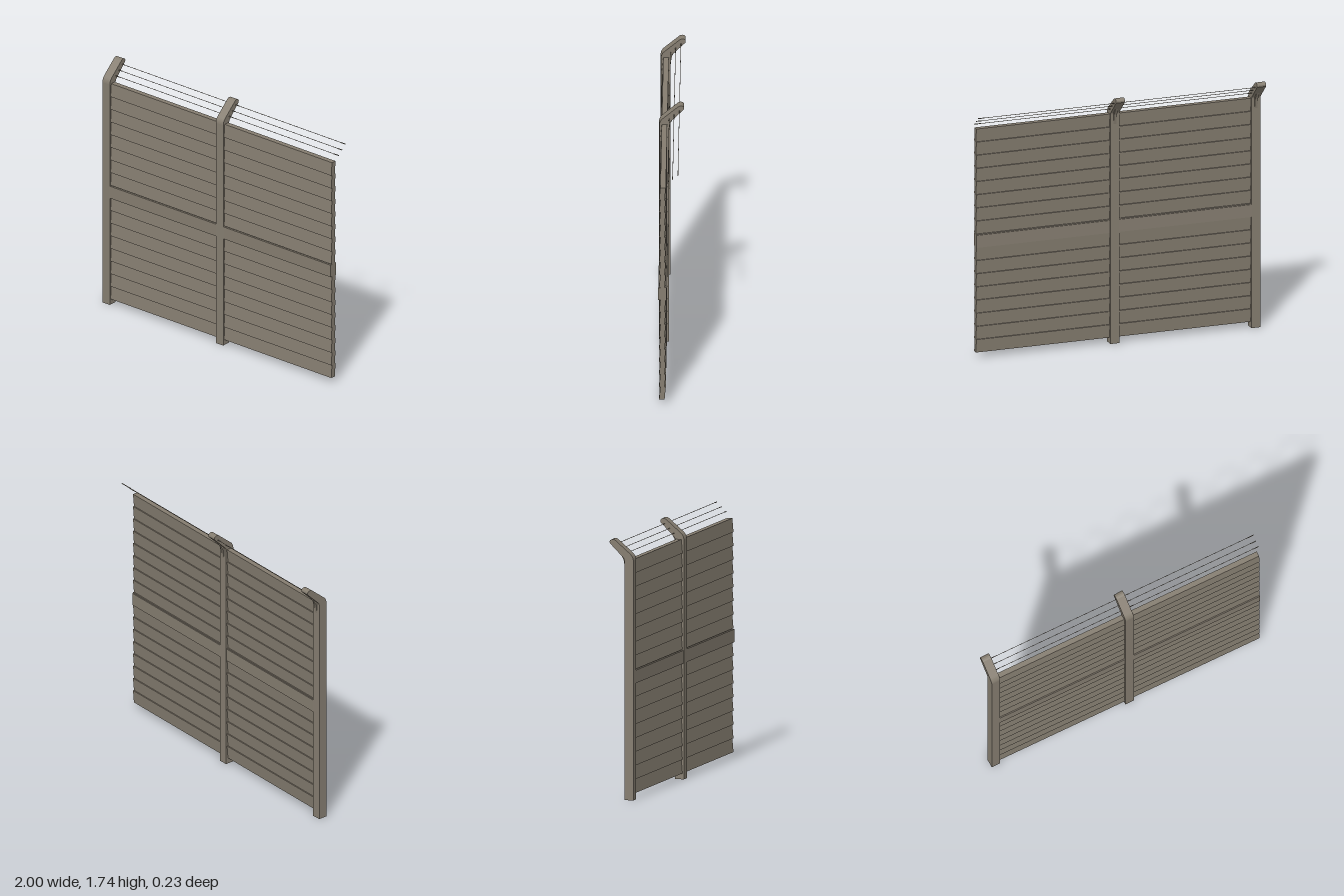
import * as THREE from 'three';

const SKEW = 0.036;                        // the fence line drifts forward towards +x
const lineZ = (x) => 0.0535 + SKEW * x;
const POSTS = [-0.968, 0.017];
const PANEL_END = 0.98, WIRE_END = 1.0;
const BOTTOM = 0.04, TOP = 1.6, SLATS = 17;
const WIRES = [[1.70, -0.102], [1.67, -0.067], [1.64, -0.035]]; // height, offset behind the line

// Extrude a (z, y) profile along x, centred on x = 0
function extrudeX(shape, length) {
  const g = new THREE.ExtrudeGeometry(shape, { depth: length, bevelEnabled: false, curveSegments: 6 });
  g.translate(0, 0, -length / 2);
  g.rotateY(-Math.PI / 2);
  return g;
}

function polygon(points) {
  return new THREE.Shape(points.map(([z, y]) => new THREE.Vector2(z, y)));
}

// Post profile: upright shaft with a rounded arm leaning backwards
function postShape() {
  const s = new THREE.Shape();
  s.moveTo(-0.031, 0);
  s.lineTo(0.031, 0);
  s.lineTo(0.031, 1.6);
  s.quadraticCurveTo(0.029, 1.627, 0.006, 1.646);
  s.lineTo(-0.092, 1.729);
  s.bezierCurveTo(-0.108, 1.743, -0.14, 1.735, -0.132, 1.71);
  s.lineTo(-0.037, 1.615);
  s.quadraticCurveTo(-0.031, 1.608, -0.031, 1.595);
  s.closePath();
  return s;
}

export function createModel() {
  const model = new THREE.Group();
  model.name = 'fence';
  const paint = new THREE.MeshStandardMaterial({ color: 0x857d70 });
  paint.name = 'weathered taupe';

  const add = (parent, name, geometry, x = 0, y = 0, z = 0) => {
    const mesh = new THREE.Mesh(geometry, paint);
    mesh.name = name;
    mesh.position.set(x, y, z);
    parent.add(mesh);
    return mesh;
  };

  // Posts with a narrow gusset under each arm
  const postGeometry = extrudeX(postShape(), 0.063);
  const gussetGeometry = extrudeX(
    polygon([[-0.025, 1.53], [-0.025, 1.63], [-0.075, 1.66], [-0.043, 1.6], [-0.031, 1.53]].reverse()), 0.02);
  for (const x of POSTS) {
    const post = new THREE.Group();
    post.name = 'post';
    post.position.set(x, 0, lineZ(x));
    add(post, 'postShaft', postGeometry);
    add(post, 'armGusset', gussetGeometry);
    model.add(post);
  }

  // Panels of overlapping tilted slats, with a rail across the middle
  const slatHeight = (TOP - BOTTOM) / SLATS;
  const spans = [[POSTS[0], POSTS[1]], [POSTS[1], PANEL_END]];
  for (const [x0, x1] of spans) {
    const panel = new THREE.Group();
    panel.name = 'panel';
    const mid = (x0 + x1) / 2, length = x1 - x0;
    panel.position.set(mid, 0, lineZ(mid));
    panel.rotation.y = -Math.atan(SKEW);
    const slat = extrudeX(polygon([
      [-0.014, 0], [0.022, 0], [0.014, slatHeight], [-0.022, slatHeight],
    ]), length);
    for (let i = 0; i < SLATS; i++) add(panel, 'slat', slat, 0, BOTTOM + i * slatHeight, 0);
    add(panel, 'middleRail', new THREE.BoxGeometry(length, 0.087, 0.056), 0, 0.817, 0);
    model.add(panel);
  }

  // Wires strung through the arms, with short sleeves at the supports
  const rod = (name, x0, x1, radius, y, offset) => {
    const mid = (x0 + x1) / 2;
    const g = new THREE.CylinderGeometry(radius, radius, x1 - x0, 6);
    g.rotateZ(Math.PI / 2);
    add(model, name, g, mid, y, lineZ(mid) + offset).rotation.y = -Math.atan(SKEW);
  };
  for (const [y, offset] of WIRES) {
    rod('wire', POSTS[0], WIRE_END, 0.0018, y, offset);
    for (const x of POSTS) rod('wireSleeve', x - 0.02, x + 0.06, 0.003, y, offset);
    rod('wireSleeve', WIRE_END - 0.045, WIRE_END, 0.003, y, offset);
  }

  return model;
}
